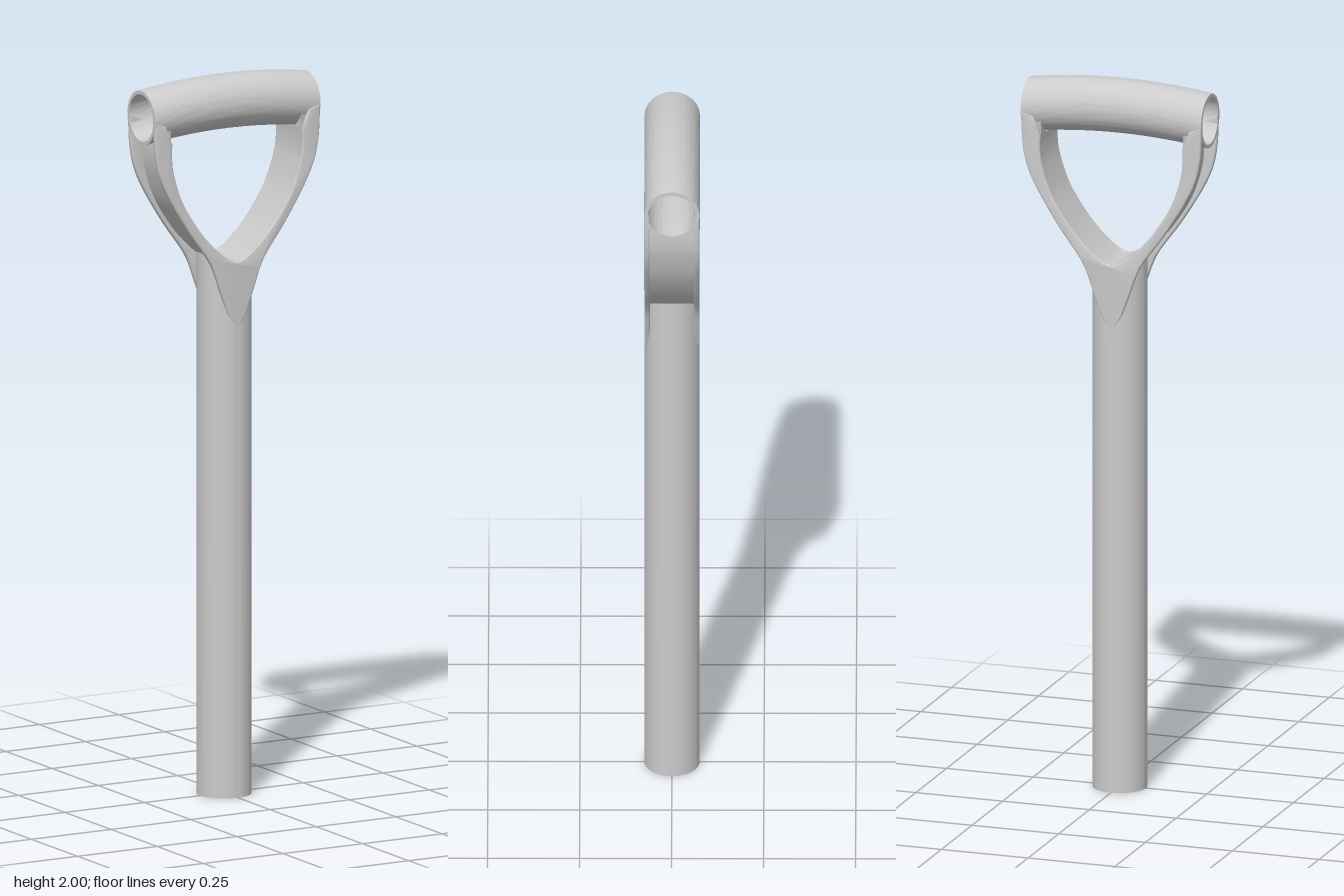
import * as THREE from 'three';
import { toCreasedNormals } from 'three/addons/utils/BufferGeometryUtils.js';

const R = 0.075, HALF = 0.26, GRIP_Y = 1.905;
const vec = ([x, y]) => new THREE.Vector2(x, y);
const mirror = (pts) => pts.map((p) => new THREE.Vector2(-p.x, p.y)).reverse();

// Right half of the opening and of the outer edge of the yoke, bottom to top
const innerPts = [[0, 1.49], [0.03, 1.502], [0.07, 1.535], [0.117, 1.587], [0.17, 1.67], [0.198, 1.75], [0.205, 1.8], [0.204, 1.838]].map(vec);
const outerPts = [[0.03, 1.35], [0.055, 1.42], [0.073, 1.47], [0.095, 1.51], [0.16, 1.6], [0.228, 1.715], [0.254, 1.8], [0.26, GRIP_Y]].map(vec);

function deform(geo, rule) {
  const p = geo.attributes.position, v = new THREE.Vector3();
  for (let i = 0; i < p.count; i++) {
    rule(v.fromBufferAttribute(p, i));
    p.setXYZ(i, v.x, v.y, v.z);
  }
  return geo;
}

function addPart(group, name, geo, crease = 0.6) {
  const mat = new THREE.MeshStandardMaterial({ color: 0xcccccc, side: THREE.DoubleSide });
  const mesh = new THREE.Mesh(toCreasedNormals(geo, crease), mat);
  mesh.name = name;
  group.add(mesh);
  return mesh;
}

// Round shaft, its top notched to meet the underside of the yoke
function shaftGeometry() {
  const geo = new THREE.CylinderGeometry(R, R, 1.4, 64).translate(0, 0.7, 0);
  return deform(geo, (v) => { if (v.y > 1) v.y = 1.465 + 0.6 * Math.abs(v.x); });
}

// Hollow grip, gently bowed upward
function gripGeometry() {
  const pts = [], n = 24;
  for (let i = 0; i <= n; i++) pts.push(new THREE.Vector2(R, -HALF + (2 * HALF * i) / n));
  for (let i = 0; i <= n; i++) pts.push(new THREE.Vector2(0.065, HALF - (2 * HALF * i) / n));
  pts.push(pts[0].clone());
  const geo = new THREE.LatheGeometry(pts, 64).rotateZ(-Math.PI / 2);
  return deform(geo, (v) => { v.y += GRIP_Y + 0.02 * (1 - (v.x / HALF) ** 2); });
}

// Curved web lining the opening; its ends are shaped to the round grip
function webGeometry() {
  const curve = new THREE.SplineCurve([...mirror(innerPts), ...innerPts.slice(1)]);
  const inside = [], outside = [], n = 80;
  for (let i = 0; i <= n; i++) {
    const p = curve.getPoint(i / n), t = curve.getTangent(i / n);
    inside.push(p);
    outside.push(new THREE.Vector2(p.x + t.y * 0.016, p.y - t.x * 0.016));
  }
  const shape = new THREE.Shape([...inside, ...outside.reverse()]);
  const geo = new THREE.ExtrudeGeometry(shape, { depth: 0.132, steps: 16, bevelEnabled: false });
  geo.translate(0, 0, -0.066);
  return deform(geo, (v) => {
    if (v.y > 1.832) v.y = GRIP_Y - Math.sqrt(0.07 ** 2 - v.z ** 2);
  });
}

// Y-shaped flange, flat on the face and softened at the edges
function flangeGeometry() {
  const outer = new THREE.SplineCurve(outerPts).getPoints(40);
  const inner = new THREE.SplineCurve(innerPts).getPoints(40);
  const half = [...outer, vec([0.224, 1.89]), vec([0.216, 1.865]), ...inner.reverse()];
  const shape = new THREE.Shape([vec([0, 1.3]), ...half, ...mirror(half).slice(1)]);
  const geo = new THREE.ExtrudeGeometry(shape, {
    depth: 0.007, bevelSize: 0.004, bevelThickness: 0.004, bevelOffset: -0.004, bevelSegments: 3,
  });
  return geo.translate(0, 0, R - 0.011);
}

export function createModel() {
  const group = new THREE.Group();
  group.name = 'handle';
  addPart(group, 'shaft', shaftGeometry());
  addPart(group, 'grip', gripGeometry());
  addPart(group, 'yokeWeb', webGeometry());
  addPart(group, 'frontFlange', flangeGeometry());
  addPart(group, 'backFlange', flangeGeometry()).rotation.y = Math.PI;
  return group;
}
